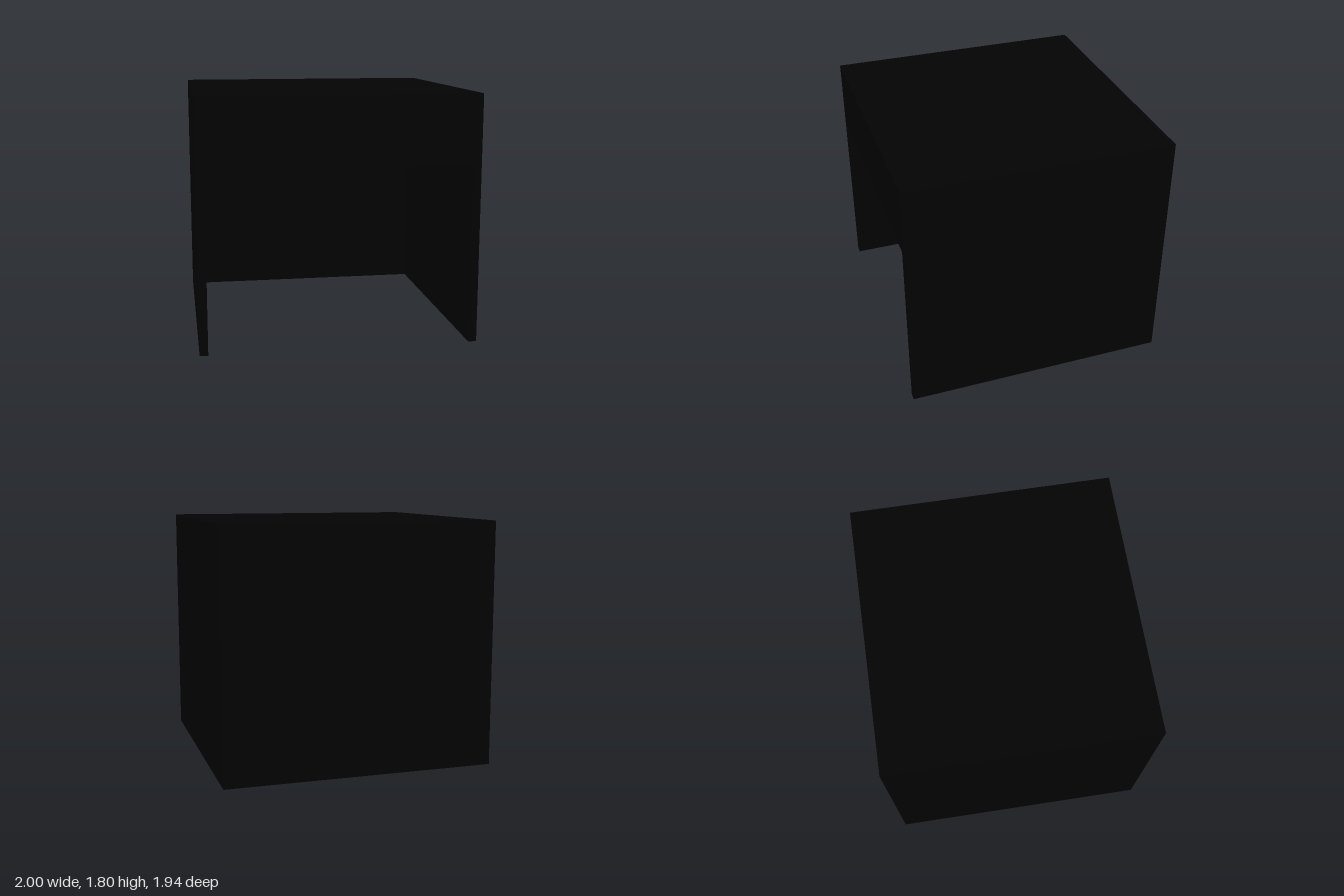
import * as THREE from 'three';

const W = 2, H = 1.8, D = 1.94; // overall size
const T = 0.06;                 // board thickness
const APRON = 1.3;              // height of the drawer's underside

export function createModel() {
  const desk = new THREE.Group();
  desk.name = 'desk';
  const black = new THREE.MeshStandardMaterial({ color: 0x030303 });

  // Board given by its size and centre
  function board(name, w, h, d, x, y, z) {
    const mesh = new THREE.Mesh(new THREE.BoxGeometry(w, h, d), black);
    mesh.name = name;
    mesh.position.set(x, y, z);
    desk.add(mesh);
  }

  // Top, resting flush on the sides
  board('top', W, T, D, 0, H - T / 2, 0);

  // Side panels reaching the floor
  for (const [name, s] of [['leftSide', 1], ['rightSide', -1]]) {
    board(name, T, H - T, D, s * (W - T) / 2, (H - T) / 2, 0);
  }

  // Back panel between the sides
  const inner = W - 2 * T;
  board('backPanel', inner, H - T, T, 0, (H - T) / 2, -(D - T) / 2);

  // Drawer compartment under the top: front and bottom
  const drawerHeight = H - T - APRON;
  board('drawerFront', inner, drawerHeight, T, 0, APRON + drawerHeight / 2, (D - T) / 2);
  board('drawerBottom', inner, T, D - 2 * T, 0, APRON + T / 2, 0);

  return desk;
}
